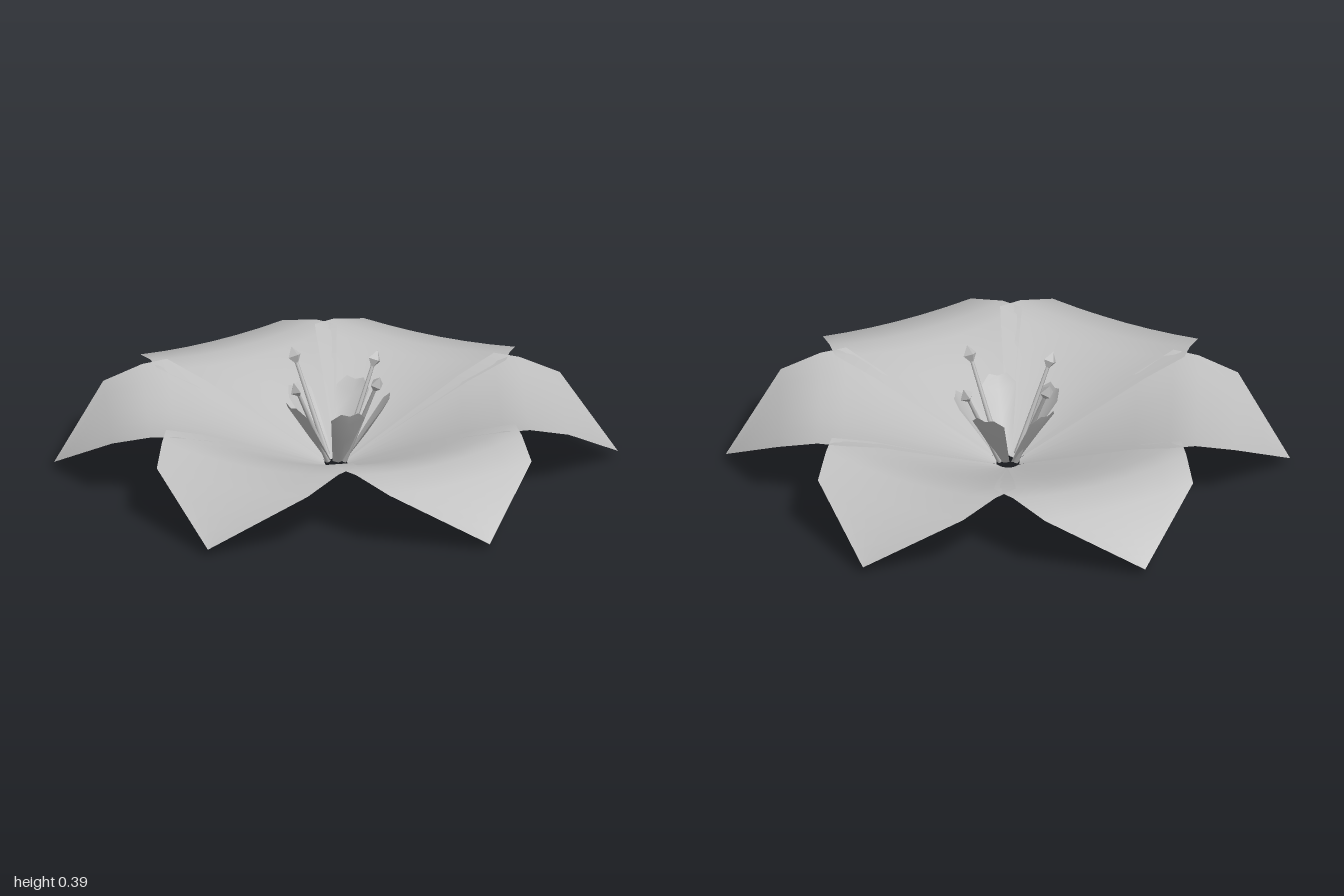
import * as THREE from 'three';

// A petal pointing along +z: rows are [distance out, centre height, half width, edge rise]
function petalGeometry(rows, columns) {
  const pos = [], index = [];
  for (const [out, height, half, rise] of rows) {
    for (let j = 0; j <= columns; j++) {
      const s = (j / columns) * 2 - 1;
      pos.push(s * half, height + rise * s * s, out);
    }
  }
  const n = columns + 1;
  for (let i = 0; i < rows.length - 1; i++) {
    for (let j = 0; j < columns; j++) {
      const a = i * n + j, b = a + 1, c = a + n, d = c + 1;
      index.push(a, c, b, b, c, d);
    }
  }
  const geo = new THREE.BufferGeometry();
  geo.setAttribute('position', new THREE.Float32BufferAttribute(pos, 3));
  geo.setIndex(index);
  geo.computeVertexNormals();
  return geo;
}

export function createModel() {
  const flower = new THREE.Group();
  flower.name = 'flower';
  const grey = new THREE.MeshStandardMaterial({ color: 0xc0c0c0, side: THREE.DoubleSide });
  grey.name = 'pale grey';

  const add = (geo, name, parent) => {
    const mesh = new THREE.Mesh(geo, grey);
    mesh.name = name;
    parent.add(mesh);
    return mesh;
  };

  // Six broad petals with drooping tips, overlapping by a slight difference in slope
  const outerRows = [
    [0.04, 0.0, 0.022, 0.004],
    [0.3, 0.1, 0.195, 0.03],
    [0.45, 0.158, 0.295, 0.045],
    [0.58, 0.2, 0.38, 0.052],
    [0.67, 0.212, 0.35, 0.035],
    [0.81, 0.192, 0.3, 0.016],
    [1.0, 0.025, 0.0, 0],
  ];
  const slopes = [0.018, 0.01, 0.005, 0, 0.012, 0.024];
  slopes.forEach((slope, i) => {
    const rows = outerRows.map(([r, y, w, e]) => [r, y + slope * Math.min(r, 1.2 * (1 - r)), w, e]);
    add(petalGeometry(rows, 6), 'outerPetal', flower).rotation.y = (i * Math.PI) / 3;
  });

  // Five small cupped petals around the centre
  const innerGeo = petalGeometry([
    [0.035, 0.015, 0.022, 0.008],
    [0.11, 0.12, 0.045, 0.025],
    [0.165, 0.205, 0.062, 0.025],
    [0.19, 0.25, 0.032, 0.01],
  ], 2);
  for (let i = 0; i < 5; i++) {
    add(innerGeo, 'innerPetal', flower).rotation.y = -Math.PI / 2 + (i * Math.PI * 2) / 5;
  }

  // Four stamens: a thin tapered stalk with a diamond-shaped head
  const up = new THREE.Vector3(0, 1, 0);
  const tips = [[0.047, 0.365, 0.2], [0.2, 0.347, -0.05], [-0.05, 0.365, -0.2], [-0.2, 0.347, 0.045]];
  for (const [x, y, z] of tips) {
    const stamen = new THREE.Group();
    stamen.name = 'stamen';
    const base = new THREE.Vector3(x * 0.2, 0.02, z * 0.2);
    const tip = new THREE.Vector3(x, y, z);
    const axis = tip.clone().sub(base);
    const length = axis.length();
    stamen.position.copy(base);
    stamen.quaternion.setFromUnitVectors(up, axis.normalize());
    add(new THREE.CylinderGeometry(0.006, 0.01, length, 6), 'stalk', stamen).position.y = length / 2;
    const head = add(new THREE.OctahedronGeometry(0.026), 'stamenHead', stamen);
    head.scale.y = 1.35;
    head.position.y = length - 0.012;
    flower.add(stamen);
  }
  return flower;
}
